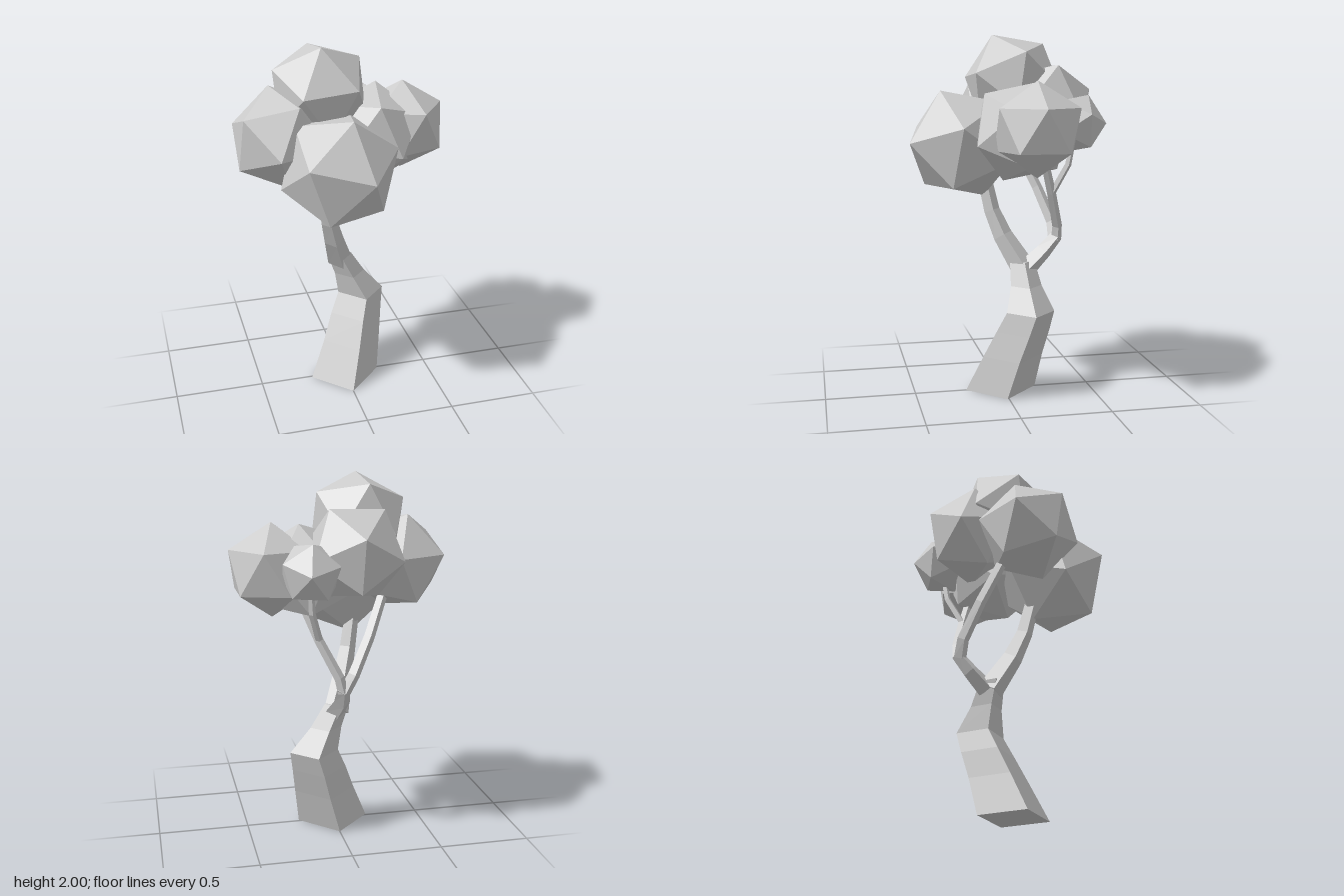
import * as THREE from 'three';

const material = new THREE.MeshStandardMaterial({ color: 0xcccccc, flatShading: true });

// Four-sided limb through stations [x, y, z, radius]; level keeps its rings horizontal
function limb(name, stations, level = false) {
  const pts = stations.map(([x, y, z]) => new THREE.Vector3(x, y, z));
  const up = new THREE.Vector3(0, 1, 0);
  const last = pts.length - 1;
  const pos = [], index = [];
  pts.forEach((p, i) => {
    const dir = pts[Math.min(i + 1, last)].clone().sub(pts[Math.max(i - 1, 0)]).normalize();
    const q = new THREE.Quaternion();
    if (!level) q.setFromUnitVectors(up, dir);
    for (let k = 0; k < 4; k++) {
      const a = k * Math.PI / 2, r = stations[i][3];
      const v = new THREE.Vector3(Math.cos(a) * r, 0, -Math.sin(a) * r).applyQuaternion(q).add(p);
      pos.push(v.x, v.y, v.z);
    }
  });
  for (let i = 0; i < last; i++) {
    for (let k = 0; k < 4; k++) {
      const a = i * 4 + k, b = i * 4 + (k + 1) % 4;
      index.push(a, b, b + 4, a, b + 4, a + 4);
    }
  }
  // End caps
  const t = last * 4;
  index.push(0, 2, 1, 0, 3, 2, t, t + 1, t + 2, t, t + 2, t + 3);
  const indexed = new THREE.BufferGeometry();
  indexed.setAttribute('position', new THREE.Float32BufferAttribute(pos, 3));
  indexed.setIndex(index);
  const geo = indexed.toNonIndexed();
  geo.computeVertexNormals();
  const mesh = new THREE.Mesh(geo, material);
  mesh.name = name;
  return mesh;
}

// Icosahedral leaf clump, turned so that two neighbouring corners point along u and v
function clump(name, center, radius, u, v) {
  const a = new THREE.Vector3(...u).normalize();
  const b = new THREE.Vector3(...v).normalize();
  const y = a.clone().add(b).normalize();
  const x = b.clone().sub(a).normalize();
  const z = x.clone().cross(y);
  const mesh = new THREE.Mesh(new THREE.IcosahedronGeometry(radius, 0), material);
  mesh.quaternion.setFromRotationMatrix(new THREE.Matrix4().makeBasis(x, y, z));
  mesh.position.set(...center);
  mesh.name = name;
  return mesh;
}

export function createModel() {
  const tree = new THREE.Group();
  tree.name = 'tree';

  // Leaning, tapering trunk
  tree.add(limb('trunk', [
    [0, 0, 0.01, 0.2],
    [0.06, 0.21, -0.05, 0.17],
    [0.1, 0.36, -0.1, 0.152],
    [0.135, 0.475, -0.135, 0.135],
    [0.065, 0.61, -0.125, 0.088],
    [0, 0.74, -0.115, 0.07],
  ], true));

  // Branches
  const branches = new THREE.Group();
  branches.name = 'branches';
  branches.add(
    limb('frontBranch', [[0.005, 0.7, -0.12, 0.07], [-0.055, 0.88, -0.015, 0.055], [-0.095, 1.02, 0.04, 0.045], [-0.13, 1.22, 0.08, 0.04]]),
    limb('backBranch', [[0.015, 0.7, -0.14, 0.055], [0, 0.79, -0.24, 0.045], [0.01, 0.88, -0.315, 0.035]]),
    limb('leftBranch', [[0.01, 0.86, -0.31, 0.03], [0.03, 0.94, -0.31, 0.028], [0.13, 1.14, -0.25, 0.025], [0.22, 1.36, -0.18, 0.022]]),
    limb('rearTwig', [[0.125, 1.13, -0.25, 0.02], [0.18, 1.3, -0.33, 0.018], [0.19, 1.42, -0.35, 0.016]]),
    limb('rightBranch', [[0, 0.86, -0.3, 0.035], [-0.05, 0.95, -0.3, 0.033], [-0.15, 1.14, -0.235, 0.03], [-0.24, 1.34, -0.15, 0.028]]),
  );
  tree.add(branches);

  // Leaf clumps
  const foliage = new THREE.Group();
  foliage.name = 'foliage';
  foliage.add(
    clump('frontClump', [-0.08, 1.4, 0.21], 0.325, [0.04, 0.3, 0.127], [0.11, 0.01, 0.3]),
    clump('rightClump', [-0.348, 1.517, -0.028], 0.28, [-0.037, 0.258, -0.092], [-0.208, 0.148, 0.118]),
    clump('topClump', [-0.115, 1.74, -0.078], 0.282, [-0.015, 0.26, 0.108], [0.225, 0.165, -0.032]),
    clump('leftClump', [0.357, 1.502, -0.115], 0.253, [0, 1, 0], [2, 1, 0]),
    clump('backClump', [-0.06, 1.597, -0.256], 0.278, [0.14, 0.233, -0.04], [0, 0.103, -0.26]),
    clump('smallBackClump', [0.19, 1.52, -0.36], 0.172, [0.005, 0.155, -0.075], [0.15, 0.055, -0.05]),
    clump('middleClump', [0.17, 1.48, -0.07], 0.285, [0.05, 0.28, -0.095], [-0.005, 0.205, 0.2]),
  );
  tree.add(foliage);
  return tree;
}
